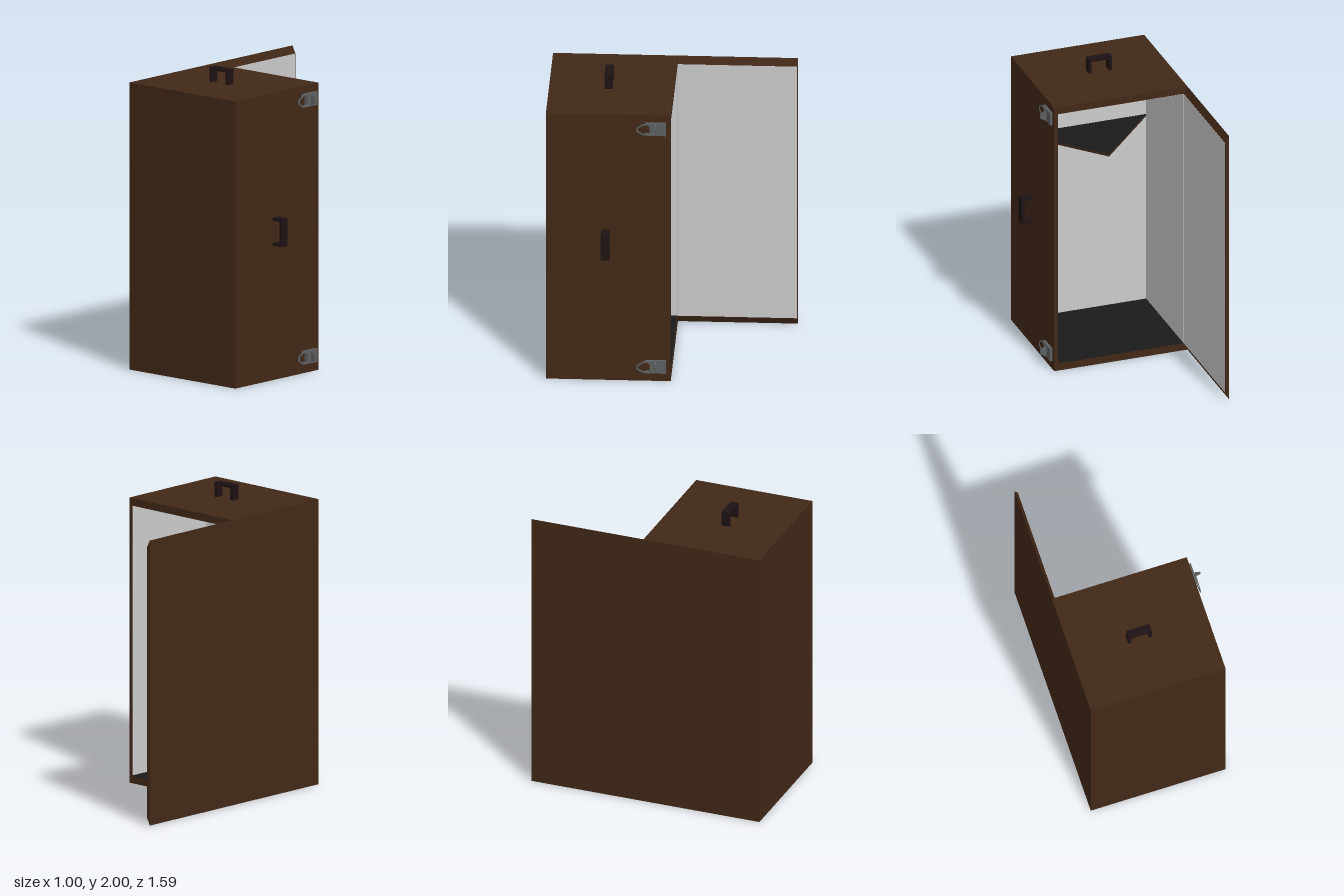
import * as THREE from 'three';

const mat = (color, side = THREE.FrontSide) => new THREE.MeshStandardMaterial({ color, side });

export function createModel() {
  const root = new THREE.Group();
  const wood = mat(0x422817), lining = mat(0xcccccc), black = mat(0x1a1a1a);
  const dark = mat(0x1e1214), metal = mat(0x5d6062, THREE.DoubleSide);

  const add = (parent, name, geo, material) => {
    const m = new THREE.Mesh(geo, material);
    m.name = name;
    parent.add(m);
    return m;
  };
  // Box given by its minimum and maximum corners
  const box = (parent, name, material, [x0, y0, z0], [x1, y1, z1]) => {
    const m = add(parent, name, new THREE.BoxGeometry(x1 - x0, y1 - y0, z1 - z0), material);
    m.position.set((x0 + x1) / 2, (y0 + y1) / 2, (z0 + z1) / 2);
    return m;
  };
  const shape = (pts) => new THREE.Shape(pts.map(([x, y]) => new THREE.Vector2(x, y)));
  const extrude = (s, depth) => new THREE.ExtrudeGeometry(s, { depth, bevelEnabled: false });

  // Cabinet, open at the back
  const L = -0.5, R = 0.42, H = 1.9, B = -0.02, F = 0.79;
  const l = -0.475, r = 0.395, y0 = 0.05, y1 = 1.85, f = 0.68, e = 0.003;
  const cabinet = new THREE.Group();
  cabinet.name = 'cabinet';
  root.add(cabinet);
  box(cabinet, 'bottomPanel', wood, [L, 0, B], [R, y0, F]);
  box(cabinet, 'topPanel', wood, [L, y1, B], [R, H, F]);
  box(cabinet, 'leftPanel', wood, [r, y0, B], [R, y1, F]);
  box(cabinet, 'rightPanel', wood, [L, y0, B], [l, y1, F]);
  box(cabinet, 'frontPanel', wood, [l, y0, f], [r, y1, F]);

  // Pale lining and black floor mat
  const zb = B + e;
  box(cabinet, 'floorMat', black, [l, y0, zb], [r, y0 + e, f]);
  box(cabinet, 'ceilingLining', lining, [l, y1 - e, zb], [r, y1, f]);
  box(cabinet, 'leftLining', lining, [r - e, y0, zb], [r, y1, f]);
  box(cabinet, 'rightLining', lining, [l, y0, zb], [l + e, y1, f]);
  box(cabinet, 'frontLining', lining, [l, y0, f - e], [r, y1, f]);

  // Triangular shelf: black faces, wooden edge
  const shelf = add(cabinet, 'shelf',
    extrude(shape([[l, f], [r, f], [(l + r) / 2, 0.2]]), 0.015), [black, wood]);
  shelf.rotation.x = Math.PI / 2;
  shelf.position.y = 1.385;

  // Open door, its top and bottom edges sloping to the inner face
  const door = new THREE.Group();
  door.name = 'door';
  root.add(door);
  const leaf = add(door, 'doorPanel',
    extrude(shape([[L, 0], [l, y0], [l, y1], [L, H]]), 0.78), wood);
  leaf.position.z = -0.8;
  box(door, 'doorLining', lining, [l, y0, -0.795], [l + 0.001, y1, B]);

  // Square bracket handles
  const addHandle = (name, length, height) => {
    const g = new THREE.Group(), t = 0.02, w = 0.0275, h = length / 2;
    g.name = name;
    box(g, 'grip', dark, [-h, height - t, -w], [h, height, w]);
    for (const s of [-1, 1]) {
      const c = s * (h - t / 2);
      box(g, 'handlePost', dark, [c - t / 2, 0, -w], [c + t / 2, height - t, w]);
    }
    root.add(g);
    return g;
  };
  addHandle('topHandle', 0.16, 0.1).position.set(-0.045, H, 0.4025);
  const side = addHandle('sideHandle', 0.185, 0.08);
  side.rotation.z = -Math.PI / 2;
  side.position.set(R, 0.983, 0.4025);

  // Latches: base plate, pointed loop and raised thumb tab
  for (const y of [0.105, 1.805]) {
    const latch = new THREE.Group();
    latch.name = 'latch';
    latch.position.set(R, y, 0);
    root.add(latch);
    box(latch, 'latchPlate', metal, [0, -0.045, 0.01], [0.018, 0.045, 0.115]);
    for (const s of [-1, 1]) {
      box(latch, 'latchEar', metal, [0, s * 0.038 - 0.006, 0.115], [0.018, s * 0.038 + 0.006, 0.145]);
    }
    const loop = shape([[0.08, -0.04], [0.16, -0.04], [0.2, -0.015], [0.2, 0.015], [0.16, 0.04], [0.08, 0.04]]);
    loop.holes.push(shape([[0.115, -0.022], [0.13, -0.032], [0.155, -0.032], [0.19, -0.011],
      [0.19, 0.011], [0.155, 0.032], [0.13, 0.032], [0.115, 0.022]]));
    const ring = add(latch, 'latchLoop', extrude(loop, 0.005), metal);
    ring.rotation.y = -Math.PI / 2;
    ring.position.x = 0.024;
    const tab = add(latch, 'latchTab',
      extrude(shape([[0.018, -0.04], [0.06, -0.017], [0.06, 0.017], [0.018, 0.04]]), 0.005), metal);
    tab.position.z = 0.075;
  }
  return root;
}
